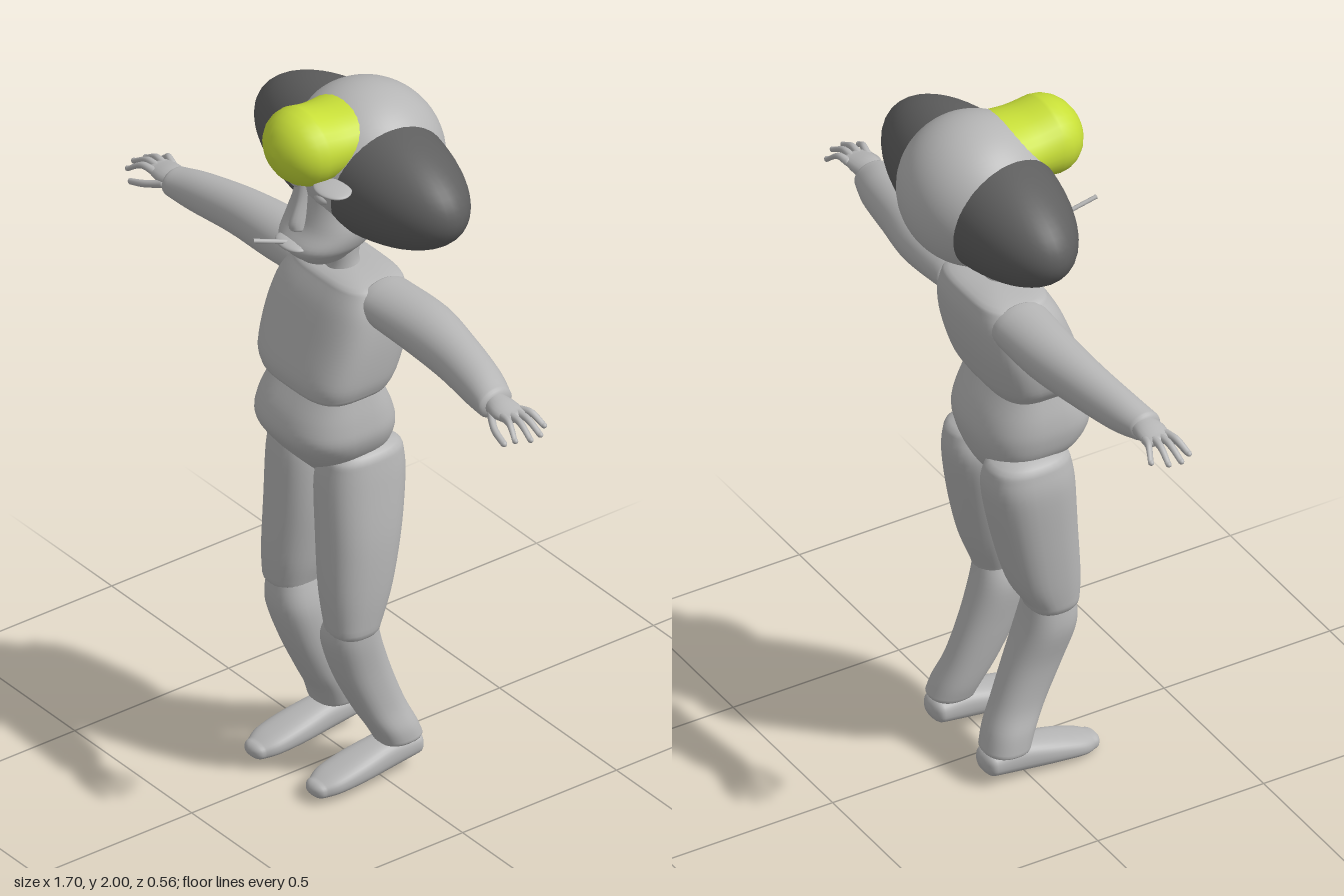
import * as THREE from 'three';

const mat = (name, color) => { const m = new THREE.MeshStandardMaterial({ color }); m.name = name; return m; };

// Smooth loft along an axis. Each section is [u, min1, max1, min2, max2].
// Axis y: 1 = x, 2 = z.  Axis x: 1 = z, 2 = y.  Axis z: 1 = y, 2 = x.
function loft(axis, rows, { cap = 0.02, power = 2, sub = 5, seg = 32 } = {}) {
  if (rows[0][0] > rows[rows.length - 1][0]) rows = [...rows].reverse();
  const last = rows.length - 1;
  const sample = (i, t) => rows[i].map((b, k) => {
    const a = rows[Math.max(i - 1, 0)][k], c = rows[i + 1][k], d = rows[Math.min(i + 2, last)][k];
    return b + 0.5 * t * (c - a + t * (2 * a - 5 * b + 4 * c - d + t * (3 * (b - c) + d - a)));
  });
  const rings = [];
  // Rounded end: shrink the end section along a quarter circle
  const dome = (r, a, dir) => {
    const s = Math.max(Math.cos(a), 0.001), m1 = (r[1] + r[2]) / 2, m2 = (r[3] + r[4]) / 2;
    return [r[0] + dir * cap * Math.sin(a), m1 + (r[1] - m1) * s, m1 + (r[2] - m1) * s,
      m2 + (r[3] - m2) * s, m2 + (r[4] - m2) * s];
  };
  for (let k = 6; k > 0; k--) rings.push(dome(rows[0], k * Math.PI / 12, -1));
  for (let i = 0; i < last; i++) for (let j = 0; j < sub; j++) rings.push(sample(i, j / sub));
  for (let k = 0; k <= 6; k++) rings.push(dome(rows[last], k * Math.PI / 12, 1));
  const pos = [], idx = [];
  const bend = v => Math.sign(v) * Math.abs(v) ** (2 / power);
  rings.forEach((r, i) => {
    for (let j = 0; j < seg; j++) {
      const a = j / seg * Math.PI * 2;
      const p = (r[1] + r[2]) / 2 + bend(Math.cos(a)) * (r[2] - r[1]) / 2;
      const q = (r[3] + r[4]) / 2 + bend(Math.sin(a)) * (r[4] - r[3]) / 2;
      if (axis === 'y') pos.push(p, r[0], q);
      else if (axis === 'x') pos.push(r[0], q, p);
      else pos.push(q, p, r[0]);
      if (i === rings.length - 1) continue;
      const n = i * seg + (j + 1) % seg, c = i * seg + j;
      idx.push(c, c + seg, n, n, c + seg, n + seg);
    }
  });
  const g = new THREE.BufferGeometry();
  g.setAttribute('position', new THREE.Float32BufferAttribute(pos, 3));
  g.setIndex(idx);
  g.computeVertexNormals();
  return g;
}

export function createModel() {
  const model = new THREE.Group();
  model.name = 'figure';
  const grey = mat('bodyGrey', 0xb6b6b6), dark = mat('hairDark', 0x5f5f5f), yellow = mat('capYellow', 0xc8df38);
  const add = (name, geo, m = grey) => {
    const mesh = new THREE.Mesh(geo, m);
    mesh.name = name;
    model.add(mesh);
    return mesh;
  };
  const ball = (name, p, r, m = grey) => {
    const mesh = add(name, new THREE.SphereGeometry(1, 48, 32), m);
    mesh.position.set(...p);
    mesh.scale.set(...r);
    return mesh;
  };

  // Wide hair, skull and cap
  ball('wideHair', [-0.007, 1.78, -0.06], [0.403, 0.177, 0.175], dark);
  ball('skull', [-0.007, 1.795, -0.073], [0.21, 0.205, 0.205]);
  add('cap', loft('z', [
    [-0.04, 1.83, 1.99, -0.13, 0.115], [0.02, 1.81, 1.985, -0.133, 0.115],
    [0.07, 1.8, 1.987, -0.13, 0.11], [0.13, 1.79, 2.0, -0.13, 0.106],
  ], { cap: 0.097 }), yellow);
  ball('sideFin', [0.115, 1.826, 0.13], [0.058, 0.011, 0.045]);

  // Face
  add('face', loft('y', [
    [1.555, -0.075, 0.055, 0, 0.14], [1.58, -0.1, 0.078, -0.03, 0.17], [1.61, -0.118, 0.1, -0.06, 0.18],
    [1.66, -0.128, 0.11, -0.08, 0.147], [1.73, -0.112, 0.094, -0.09, 0.13], [1.84, -0.11, 0.09, -0.09, 0.12],
  ], { cap: 0.015, power: 2.3 }));
  add('nose', loft('y', [
    [1.655, -0.034, 0.014, 0.11, 0.172], [1.68, -0.031, 0.011, 0.1, 0.172],
    [1.74, -0.026, 0.006, 0.09, 0.15], [1.8, -0.026, 0.006, 0.08, 0.14],
  ], { seg: 16, cap: 0.012 }));
  ball('lips', [-0.012, 1.612, 0.165], [0.055, 0.013, 0.036]);
  for (const s of [-1, 1]) ball('eye', [-0.01 + s * 0.053, 1.755, 0.108], [0.027, 0.018, 0.02]);
  add('mouthStick', new THREE.TubeGeometry(new THREE.LineCurve3(
    new THREE.Vector3(-0.012, 1.615, 0.17), new THREE.Vector3(-0.028, 1.652, 0.28)), 1, 0.006, 10));
  add('neck', loft('y', [[1.46, -0.07, 0.05, -0.07, 0.06], [1.51, -0.055, 0.036, -0.04, 0.05], [1.57, -0.055, 0.036, -0.05, 0.06]]));

  // Torso
  add('chest', loft('y', [
    [1.185, -0.175, 0.162, -0.06, 0.185], [1.23, -0.2, 0.175, -0.085, 0.185], [1.33, -0.213, 0.18, -0.115, 0.15],
    [1.42, -0.2, 0.172, -0.125, 0.115], [1.475, -0.165, 0.15, -0.115, 0.085],
  ], { power: 3.4, cap: 0.028, seg: 48 }));
  add('hips', loft('y', [
    [0.88, -0.03, 0.02, -0.03, 0.08], [0.94, -0.1, 0.085, -0.07, 0.14], [0.99, -0.165, 0.14, -0.09, 0.185],
    [1.05, -0.184, 0.168, -0.1, 0.222], [1.11, -0.18, 0.165, -0.085, 0.21], [1.18, -0.16, 0.15, -0.05, 0.17],
  ], { power: 2.7, cap: 0.02, seg: 48 }));

  // Arms: one outline per side
  add('rightArm', loft('x', [
    [-0.15, -0.11, 0.06, 1.365, 1.495], [-0.3, -0.1, 0.055, 1.35, 1.493], [-0.45, -0.075, 0.055, 1.353, 1.485],
    [-0.6, -0.04, 0.068, 1.355, 1.468], [-0.68, -0.015, 0.078, 1.368, 1.452],
  ]));
  add('leftArm', loft('x', [
    [0.13, -0.11, 0.06, 1.375, 1.5], [0.3, -0.115, 0.05, 1.358, 1.503], [0.45, -0.09, 0.05, 1.353, 1.49],
    [0.58, -0.065, 0.06, 1.348, 1.468], [0.655, -0.04, 0.068, 1.358, 1.445],
  ]));

  // Hands with four fingers and a thumb
  for (const [side, s, dx, y0, z0] of [['right', -1, 0.012, 1.412, 0.025], ['left', 1, 0, 1.402, 0.017]]) {
    const X = x => s * (x + dx);
    add(side + 'Palm', loft('x', [
      [X(0.65), z0 - 0.03, z0 + 0.03, y0 - 0.028, y0 + 0.03],
      [X(0.7), z0 - 0.038, z0 + 0.045, y0 - 0.022, y0 + 0.028],
      [X(0.745), z0 - 0.038, z0 + 0.04, y0 - 0.012, y0 + 0.018],
    ], { seg: 20 }));
    const finger = (name, path, r) => add(side + name, loft('x', path.map(([x, y, z], i) => {
      const w = r * (1 - 0.15 * i);
      return [X(x), z0 + z - w, z0 + z + w, y0 + y - w, y0 + y + w];
    }), { seg: 12, cap: 0.01 }));
    for (let i = 0; i < 4; i++) {
      const z = -0.03 + i * 0.02, len = [0.065, 0.095, 0.1, 0.08][i];
      finger('Finger', [[0.735, 0.005, z], [0.735 + len * 0.5, 0.008, z * 1.3], [0.735 + len, -0.018, z * 1.75]], 0.0115);
    }
    finger('Thumb', [[0.69, -0.008, 0.035], [0.735, -0.022, 0.058], [0.785, -0.037, 0.066]], 0.0125);
  }

  // Legs and feet
  add('rightThigh', loft('y', [
    [0.52, -0.195, -0.05, 0.01, 0.155], [0.6, -0.203, -0.03, -0.035, 0.16], [0.75, -0.212, -0.012, -0.075, 0.152],
    [0.9, -0.217, -0.015, -0.105, 0.142], [0.97, -0.205, -0.035, -0.1, 0.13],
  ], { power: 2.4, cap: 0.04 }));
  add('leftThigh', loft('y', [
    [0.49, 0.07, 0.203, 0.01, 0.155], [0.6, 0.04, 0.207, -0.035, 0.16], [0.75, 0.01, 0.2, -0.075, 0.152],
    [0.9, -0.01, 0.178, -0.105, 0.142], [0.97, 0.012, 0.165, -0.1, 0.13],
  ], { power: 2.4, cap: 0.04 }));
  add('rightShin', loft('y', [
    [0.1, -0.192, -0.055, -0.12, 0.01], [0.15, -0.185, -0.045, -0.105, 0.03], [0.22, -0.168, -0.038, -0.075, 0.07],
    [0.33, -0.17, -0.03, -0.035, 0.122], [0.44, -0.188, -0.03, 0, 0.155], [0.52, -0.18, -0.05, 0.015, 0.15],
  ], { power: 2.3 }));
  add('leftShin', loft('y', [
    [0.11, 0.09, 0.207, -0.12, 0.01], [0.15, 0.08, 0.205, -0.105, 0.03], [0.22, 0.07, 0.19, -0.075, 0.07],
    [0.33, 0.058, 0.188, -0.035, 0.122], [0.44, 0.05, 0.195, 0, 0.155], [0.5, 0.07, 0.195, 0.015, 0.15],
  ], { power: 2.3 }));
  for (const [name, x, y] of [['rightFoot', -0.115, 0], ['leftFoot', 0.147, 0.012]]) {
    add(name, loft('z', [
      [-0.1, y + 0.025, y + 0.095, x - 0.052, x + 0.045], [-0.02, y + 0.014, y + 0.1, x - 0.055, x + 0.048],
      [0.08, y + 0.007, y + 0.082, x - 0.062, x + 0.055], [0.16, y + 0.002, y + 0.06, x - 0.06, x + 0.05],
      [0.2, y, y + 0.045, x - 0.042, x + 0.035],
    ], { power: 2.5, cap: 0.025 }));
  }
  return model;
}
